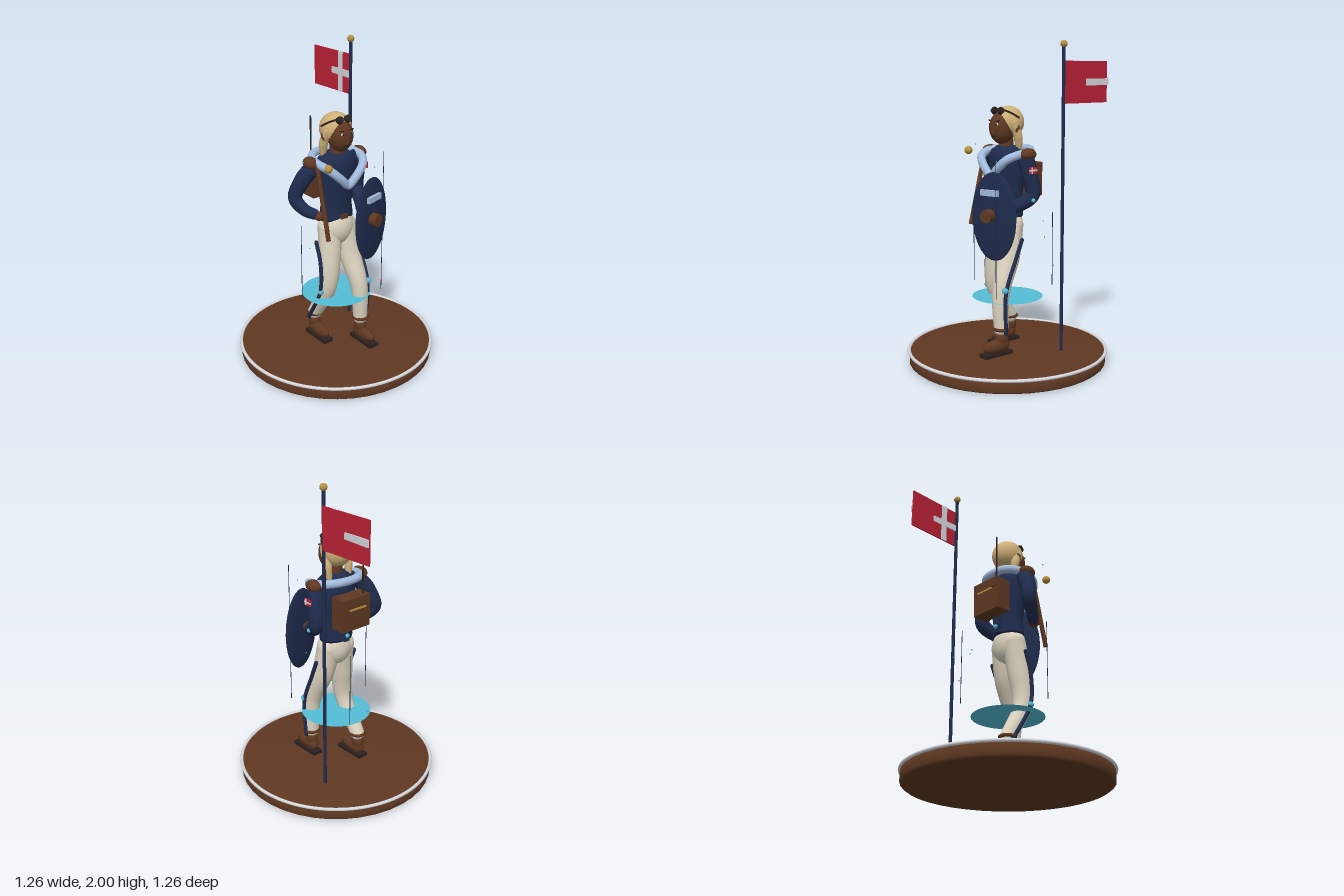
import * as THREE from 'three';

const mat = (name, color, side = THREE.FrontSide) => {
  const m = new THREE.MeshStandardMaterial({ color, side });
  m.name = name;
  return m;
};
const V = (p) => new THREE.Vector3(...p);

export function createModel() {
  const navy = mat('navy', 0x1f2c4d), brown = mat('brown', 0x5f3822), dark = mat('dark', 0x2b2220);
  const blond = mat('blond', 0xcfb078), gold = mat('gold', 0xb8923f), cream = mat('cream', 0xdcd3bf);
  const pale = mat('paleBlue', 0xa3bbdd), cyan = mat('cyan', 0x55bdd6, THREE.DoubleSide);
  const red = mat('red', 0xbb2236), white = mat('white', 0xd6d8dc);

  const model = new THREE.Group();
  model.name = 'standardBearer';

  const add = (name, geo, m, pos = [0, 0, 0], parent = model) => {
    const mesh = new THREE.Mesh(geo, m);
    mesh.name = name;
    mesh.position.set(...pos);
    parent.add(mesh);
    return mesh;
  };
  const ball = (name, m, pos, r, parent) => {
    const s = Array.isArray(r) ? r : [r, r, r];
    const mesh = add(name, new THREE.SphereGeometry(1, 32, 20), m, pos, parent);
    mesh.scale.set(...s);
    return mesh;
  };
  const box = (name, m, pos, size, parent) => add(name, new THREE.BoxGeometry(...size), m, pos, parent);
  const lathe = (name, m, pts, pos) =>
    add(name, new THREE.LatheGeometry(pts.map((p) => new THREE.Vector2(...p)), 40), m, pos);

  // Tube whose radius changes along its path, with rounded ends
  const limb = (name, m, path, radii, seg = 28) => {
    const curve = new THREE.CatmullRomCurve3(path.map(V));
    const geo = new THREE.TubeGeometry(curve, seg, 1, 20);
    const pos = geo.attributes.position, c = new THREE.Vector3(), v = new THREE.Vector3();
    for (let i = 0; i <= seg; i++) {
      curve.getPointAt(i / seg, c);
      const t = (i / seg) * (radii.length - 1), k = Math.min(Math.floor(t), radii.length - 2);
      const r = THREE.MathUtils.lerp(radii[k], radii[k + 1], t - k);
      for (let j = 0; j <= 20; j++) {
        const n = i * 21 + j;
        v.fromBufferAttribute(pos, n).sub(c).multiplyScalar(r).add(c);
        pos.setXYZ(n, v.x, v.y, v.z);
      }
    }
    geo.computeVertexNormals();
    const g = new THREE.Group();
    g.name = name;
    model.add(g);
    add(name + 'Tube', geo, m, [0, 0, 0], g);
    ball(name + 'Start', m, path[0], radii[0], g);
    ball(name + 'End', m, path[path.length - 1], radii[radii.length - 1], g);
    return g;
  };
  // Straight bar between two points
  const bar = (name, m, a, b, r) => {
    const A = V(a), B = V(b), d = B.clone().sub(A);
    const mesh = add(name, new THREE.CylinderGeometry(r, r, d.length(), 12), m);
    mesh.position.copy(A).add(B).multiplyScalar(0.5);
    mesh.quaternion.setFromUnitVectors(new THREE.Vector3(0, 1, 0), d.normalize());
    return mesh;
  };

  // Round base with a pale rim
  lathe('base', brown, [[0, 0], [0.605, 0], [0.62, 0.012], [0.62, 0.084], [0, 0.084]]);
  const rim = add('baseRim', new THREE.TorusGeometry(0.621, 0.0105, 10, 96), white, [0, 0.083, 0]);
  rim.rotation.x = Math.PI / 2;

  // Thin glowing disc and upright threads around the figure
  const halo = add('haloDisc', new THREE.CircleGeometry(0.222, 48), cyan, [0, 0.42, 0]);
  halo.rotation.x = -Math.PI / 2;
  [[0.18, 0.235, 1.39], [-0.292, 0.04, 0.96], [0.12, -0.27, 0.94]].forEach(([x, z, top]) =>
    bar('thread', navy, [x, 0.47, z], [x, top, z], 0.002));
  [[0.045, 0.57, -0.35], [0.055, 0.77, -0.26], [0.22, 0.8, -0.25], [0.28, 0.93, -0.05], [-0.27, 1.36, 0.04],
    [0.14, 1.29, 0.2]].forEach((p) => add('spark', new THREE.OctahedronGeometry(0.006), cyan, p));

  // Legs, stripes, knee beads, cuffs and shoes
  ball('hips', cream, [0, 0.88, 0.008], [0.114, 0.125, 0.095]);
  const legs = [
    { s: 1, z: [0.01, 0.045, 0.125, 0.13], foot: 0.17, bead: [0.15, 0.5, 0.14] },
    { s: -1, z: [0, 0.025, 0.03, -0.1], foot: -0.05, bead: [-0.15, 0.47, 0.04] },
  ];
  legs.forEach(({ s, z, foot, bead }) => {
    const [a, b, c, d] = z;
    limb('leg', cream, [[s * 0.05, 0.88, a], [s * 0.068, 0.7, b], [s * 0.09, 0.48, c], [s * 0.098, 0.25, d]],
      [0.075, 0.07, 0.054, 0.046]);
    const stripe = limb('legStripe', navy,
      [[s * 0.151, 0.8, a], [s * 0.15, 0.68, b + 0.015], [s * 0.15, 0.48, c + 0.01], [s * 0.143, 0.23, d]],
      [0.012, 0.012, 0.012, 0.012]);
    stripe.position.x = s * 0.002;
    ball('kneeBead', cyan, bead, 0.02);
    const cuff = add('ankleCuff', new THREE.TorusGeometry(0.044, 0.011, 10, 28), brown, [s * 0.1, 0.252, d]);
    cuff.rotation.x = Math.PI / 2;
    ball('ankle', brown, [s * 0.1, 0.19, d], [0.035, 0.055, 0.045]);
    ball('shoe', brown, [s * 0.1, 0.145, foot], [0.037, 0.043, 0.098]);
    ball('shoeHeel', brown, [s * 0.1, 0.15, foot - 0.045], [0.035, 0.05, 0.05]);
    box('sole', dark, [s * 0.1, 0.1, foot], [0.07, 0.022, 0.21]);
  });

  // Jacket and neck
  lathe('jacket', navy, [[0, 0.935], [0.112, 0.935], [0.115, 0.95], [0.105, 1.03], [0.122, 1.15], [0.138, 1.27],
    [0.125, 1.33], [0.08, 1.365], [0, 1.375]]).scale.z = 0.72;
  add('neck', new THREE.CylinderGeometry(0.042, 0.048, 0.08, 24), brown, [0, 1.39, 0.01]);
  box('beltBuckle', brown, [0, 0.965, 0.082], [0.05, 0.03, 0.012]);
  box('backPouch', navy, [0, 0.985, -0.088], [0.04, 0.09, 0.03]);
  ball('pouchBead', cyan, [0, 0.98, -0.105], 0.014);

  // Rolled scarf: a loop round the shoulders meeting in a V on the chest
  const half = [[0.06, 1.235, 0.13], [0.125, 1.295, 0.105], [0.16, 1.325, 0.03], [0.145, 1.335, -0.05],
    [0.08, 1.345, -0.11]];
  const loop = [[0, 1.185, 0.125], ...half, [0, 1.345, -0.122], ...half.map(([x, y, z]) => [-x, y, z]).reverse()];
  add('scarf', new THREE.TubeGeometry(new THREE.CatmullRomCurve3(loop.map(V), true), 96, 0.026, 14, true), pale);
  ball('scarfKnot', pale, [0, 1.185, 0.128], 0.028);

  // Arms, hands and shoulder pads
  limb('rightArm', navy, [[-0.16, 1.3, -0.01], [-0.22, 1.21, -0.045], [-0.258, 1.1, -0.07], [-0.225, 1.03, -0.015],
    [-0.19, 1.01, 0.03]], [0.05, 0.052, 0.045, 0.04, 0.034]);
  ball('rightHand', brown, [-0.172, 1.0, 0.055], [0.03, 0.028, 0.035]);
  limb('leftArm', navy, [[0.16, 1.3, -0.01], [0.178, 1.21, -0.025], [0.19, 1.08, -0.04], [0.16, 1.02, 0.04],
    [0.115, 0.995, 0.11]], [0.052, 0.052, 0.047, 0.042, 0.035]);
  ball('leftHand', brown, [0.095, 0.985, 0.15], [0.04, 0.03, 0.033]);
  for (const s of [1, -1]) ball('shoulderPad', brown, [s * 0.183, 1.325, -0.01], [0.042, 0.037, 0.056]);
  ball('elbowBead', cyan, [0.228, 1.05, -0.015], 0.013);
  box('armPatch', red, [0.23, 1.232, -0.01], [0.008, 0.04, 0.06]);
  box('armPatchBar', white, [0.233, 1.232, -0.01], [0.006, 0.01, 0.06]);
  box('armPatchPost', white, [0.233, 1.232, 0.003], [0.006, 0.04, 0.01]);

  // Baton in the right hand and its round knob
  bar('baton', brown, [-0.172, 1.33, 0.04], [-0.172, 0.87, 0.155], 0.014);
  ball('batonKnob', gold, [-0.178, 1.335, 0.165], 0.025);

  // Oval shield
  const shield = new THREE.Group();
  shield.name = 'shield';
  shield.position.set(0.118, 0.96, 0.2);
  shield.rotation.y = 0.28;
  model.add(shield);
  ball('shieldBody', navy, [0, 0, 0], [0.161, 0.268, 0.022], shield);
  add('shieldBoss', new THREE.CylinderGeometry(0.04, 0.04, 0.05, 28), brown, [-0.015, 0.008, 0.042], shield)
    .rotation.x = Math.PI / 2;
  box('shieldPlate', pale, [-0.012, 0.145, 0.03], [0.125, 0.036, 0.02], shield);

  // Backpack with trim and aerial
  box('backpack', brown, [0, 1.155, -0.14], [0.215, 0.205, 0.1]);
  box('backpackFlap', brown, [0, 1.23, -0.145], [0.205, 0.06, 0.105]);
  box('backpackTrim', gold, [0, 1.19, -0.2], [0.13, 0.009, 0.008]);
  bar('aerial', dark, [-0.07, 1.25, -0.165], [-0.07, 1.56, -0.165], 0.005);

  // Head and face
  ball('face', brown, [0, 1.478, 0.042], [0.079, 0.1, 0.08]);
  ball('hair', blond, [0, 1.51, -0.005], [0.099, 0.1, 0.1]);
  const nose = add('nose', new THREE.ConeGeometry(0.02, 0.055, 16), brown, [0, 1.475, 0.122]);
  nose.rotation.x = 0.45;
  ball('mouth', dark, [0, 1.43, 0.109], [0.022, 0.006, 0.006]);
  for (const s of [1, -1]) {
    ball('eye', white, [s * 0.032, 1.502, 0.108], [0.013, 0.008, 0.006]);
    ball('pupil', dark, [s * 0.032, 1.502, 0.113], [0.006, 0.006, 0.004]);
    const brow = box('brow', dark, [s * 0.034, 1.522, 0.106], [0.03, 0.006, 0.008]);
    brow.rotation.z = s * 0.2;
    ball('ear', brown, [s * 0.094, 1.47, 0.0], [0.012, 0.03, 0.018]);
    limb('hairLock', blond, [[s * 0.076, 1.51, 0.015], [s * 0.082, 1.43, -0.015], [s * 0.075, 1.33, -0.03]],
      [0.024, 0.028, 0.016]);
    // Goggles pushed up on the forehead
    const lens = add('goggleLens', new THREE.CylinderGeometry(0.021, 0.023, 0.022, 24), dark,
      [s * 0.03, 1.583, 0.078]);
    lens.rotation.x = 0.95;
    const strap = [[0.045, 1.59, 0.075], [0.08, 1.572, 0.04], [0.102, 1.54, -0.01]].map(([x, y, z]) => V([s * x, y, z]));
    add('goggleStrap', new THREE.TubeGeometry(new THREE.CatmullRomCurve3(strap), 16, 0.006, 8), dark);
  }

  // Flagpole and flag with a cross
  bar('flagpole', navy, [0.272, 0.084, -0.212], [0.272, 1.97, -0.212], 0.0105);
  ball('flagpoleFinial', gold, [0.272, 1.98, -0.212], 0.022);
  box('flag', red, [0.275, 1.752, -0.4], [0.008, 0.255, 0.365]).rotation.y = 0.045;
  box('flagCrossBar', white, [0.275, 1.752, -0.4], [0.009, 0.042, 0.365]).rotation.y = -0.02;
  box('flagCrossPost', white, [0.2745, 1.752, -0.318], [0.009, 0.256, 0.042]);

  return model;
}
